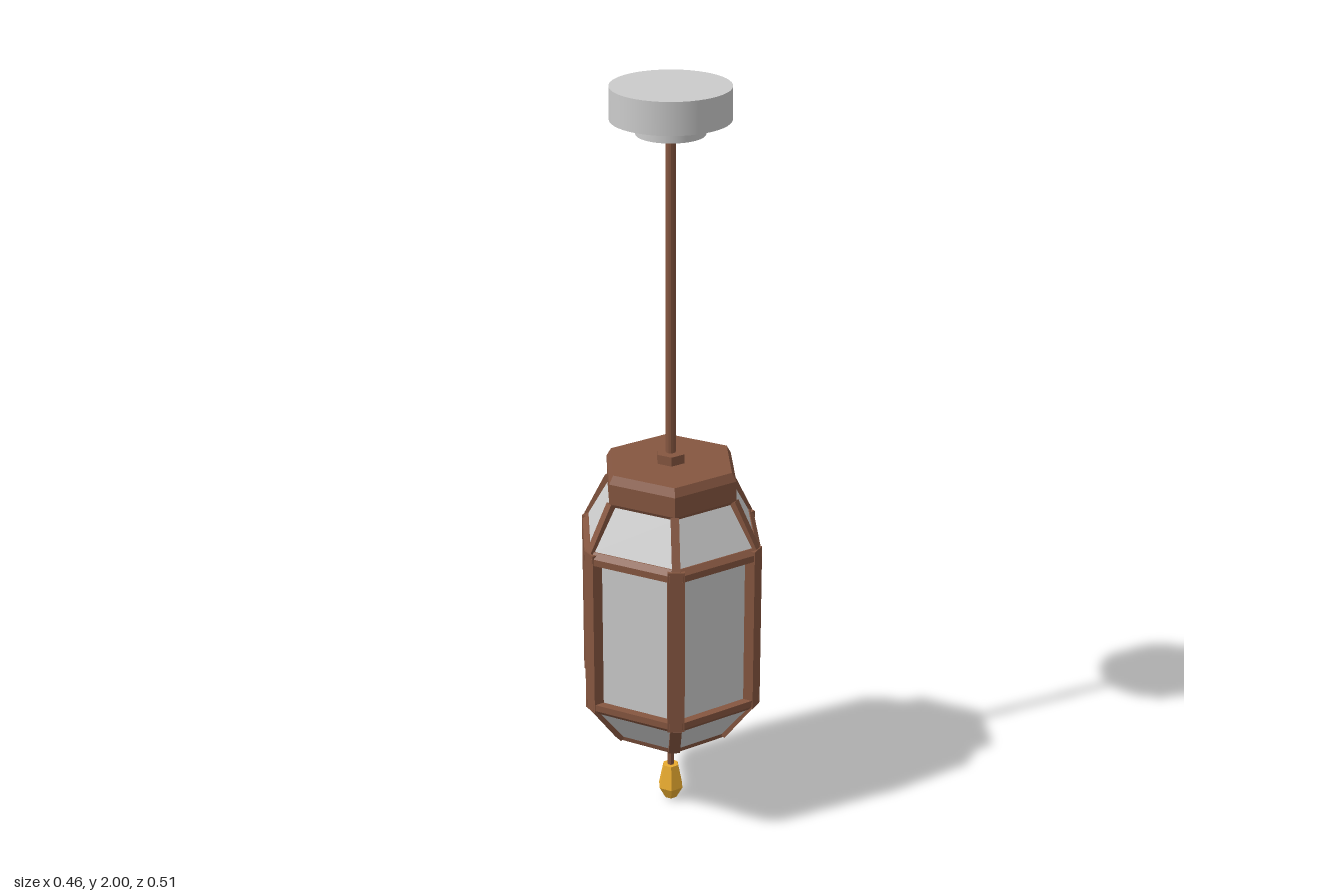
import * as THREE from 'three';

const grey = new THREE.MeshStandardMaterial({ color: 0xcccccc });
const glass = new THREE.MeshStandardMaterial({ color: 0xcccccc, flatShading: true, side: THREE.DoubleSide });
const wood = new THREE.MeshStandardMaterial({ color: 0x855640, flatShading: true });
const gold = new THREE.MeshStandardMaterial({ color: 0xeaac30, flatShading: true });

export function createModel() {
  const model = new THREE.Group();
  model.name = 'pendantLantern';

  const add = (parent, name, geometry, material) => {
    const mesh = new THREE.Mesh(geometry, material);
    mesh.name = name;
    parent.add(mesh);
    return mesh;
  };
  // Upright cylinder or frustum between two heights
  const drum = (name, rTop, rBottom, y0, y1, sides, material, open = false) => {
    const mesh = add(model, name, new THREE.CylinderGeometry(rTop, rBottom, y1 - y0, sides, 1, open), material);
    mesh.position.y = (y0 + y1) / 2;
  };
  // Faceted turned shape from [radius, height] pairs, bottom to top
  const turned = (name, points, sides, material) =>
    add(model, name, new THREE.LatheGeometry(points.map(p => new THREE.Vector2(...p)), sides), material);

  // Ceiling canopy and hanging rod
  drum('ceilingCanopy', 0.151, 0.151, 1.917, 2.0, 48, grey);
  drum('canopyCollar', 0.087, 0.087, 1.88, 1.917, 48, grey);
  drum('hangingRod', 0.013, 0.013, 1.0, 1.88, 12, wood);
  drum('rodNut', 0.04, 0.04, 1.0, 1.035, 6, wood);

  // Bevelled hexagonal cap
  turned('cap', [[0, 0.915], [0.177, 0.915], [0.188, 0.933], [0.188, 0.988], [0.175, 1.01], [0, 1.01]], 6, wood);

  // Glass panes, the upright ones set back behind the rails
  drum('upperPanes', 0.182, 0.248, 0.81, 0.925, 6, glass, true);
  drum('middlePanes', 0.238, 0.238, 0.355, 0.805, 6, glass, true);
  drum('lowerPanes', 0.246, 0.164, 0.24, 0.347, 6, glass, true);

  // Box bar in the radial plane, from (radius, height) a to b
  const radialBar = (parent, name, a, b, width, depth) => {
    const dr = b[0] - a[0], dy = b[1] - a[1];
    const bar = add(parent, name, new THREE.BoxGeometry(width, Math.hypot(dr, dy), depth), wood);
    bar.position.set(0, (a[1] + b[1]) / 2, (a[0] + b[0]) / 2);
    bar.rotation.x = Math.atan2(dr, dy);
  };

  // Rail section with its outer edge bevelled to follow the sloping panes
  const railLength = 0.225;
  const section = new THREE.Shape([[0.198, -0.015], [0.228, -0.015], [0.228, 0.003], [0.215, 0.017], [0.198, 0.017]]
    .map(p => new THREE.Vector2(...p)));
  const railGeometry = new THREE.ExtrudeGeometry(section, { depth: railLength, bevelEnabled: false });
  railGeometry.translate(0, 0, -railLength / 2);

  // Six corners and six sides of the frame
  for (let i = 0; i < 6; i++) {
    const corner = new THREE.Group();
    corner.name = 'frameCorner';
    corner.rotation.y = i * Math.PI / 3;
    radialBar(corner, 'cornerPost', [0.23, 0.35], [0.23, 0.81], 0.044, 0.046);
    radialBar(corner, 'upperRib', [0.243, 0.808], [0.18, 0.93], 0.021, 0.02);
    radialBar(corner, 'lowerRib', [0.16, 0.242], [0.24, 0.352], 0.03, 0.02);
    model.add(corner);

    const side = new THREE.Group();
    side.name = 'frameSide';
    side.rotation.y = i * Math.PI / 3;
    add(side, 'upperRail', railGeometry, wood).position.y = 0.798;
    const lower = add(side, 'lowerRail', railGeometry, wood);
    lower.position.y = 0.36;
    lower.rotation.x = Math.PI;
    model.add(side);
  }

  // Pointed base, drop stem and faceted finial
  turned('base', [[0, 0.148], [0.018, 0.148], [0.165, 0.234], [0.17, 0.248], [0, 0.248]], 6, wood);
  drum('dropStem', 0.009, 0.009, 0.09, 0.16, 8, wood);
  turned('finial', [[0, 0], [0.017, 0.003], [0.036, 0.038], [0.022, 0.105], [0, 0.105]], 6, gold);

  return model;
}
